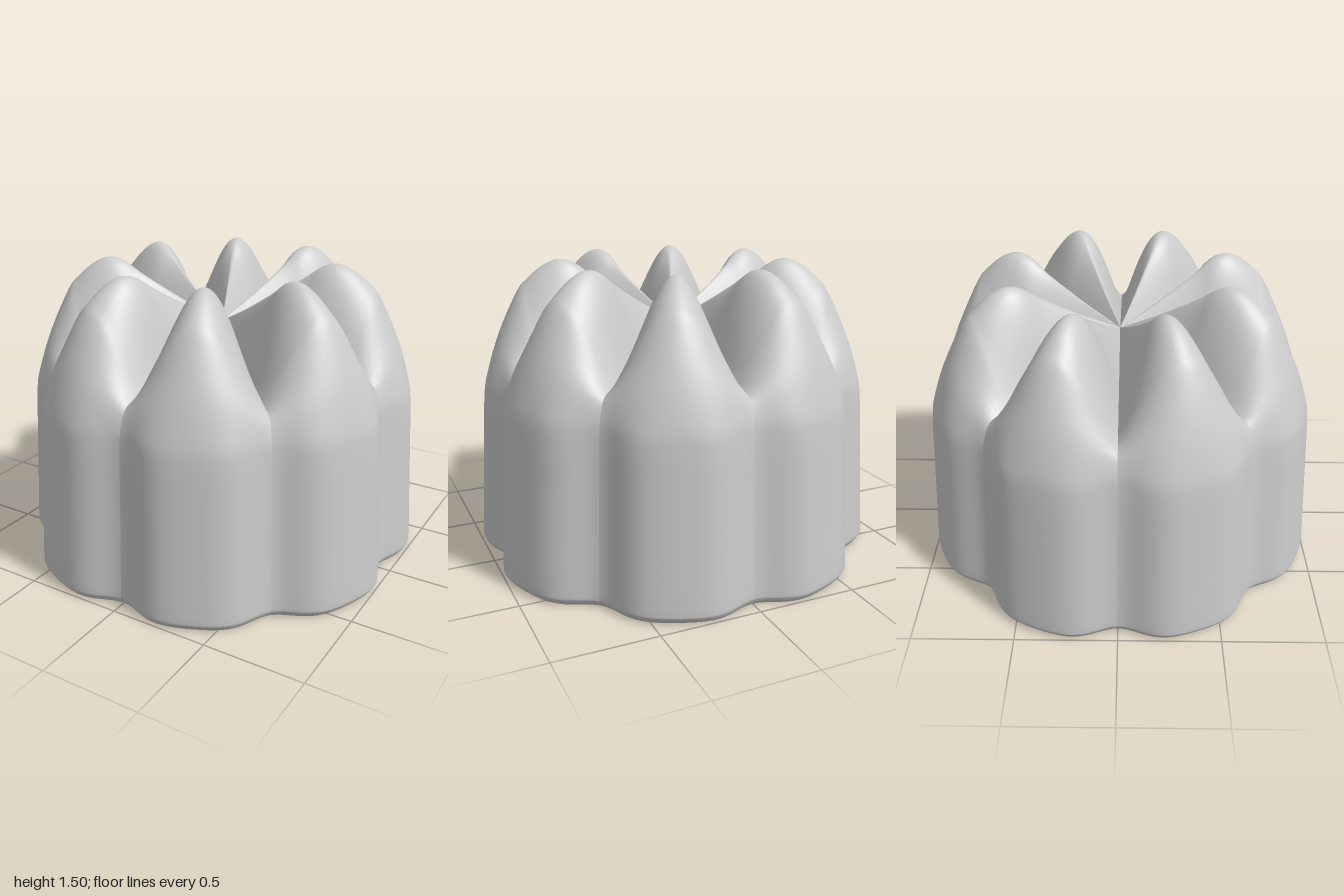
import * as THREE from 'three';

const LOBES = 8;
const SECTOR = (Math.PI * 2) / LOBES;
const COLS = 28; // steps across one lobe
const SUB = 4;   // steps between profile points

// Matching radial profiles [radius, height], from the centre out and down the wall
const RIDGE = [[0, 1.18], [0.2, 1.285], [0.4, 1.405], [0.5, 1.475], [0.58, 1.495], [0.66, 1.465], [0.74, 1.4],
  [0.8, 1.33], [0.9, 1.12], [0.965, 0.92], [0.985, 0.8], [1.0, 0.58], [1.015, 0.34], [1.032, 0.07], [1.028, 0.025], [1.01, 0]];
const VALLEY = [[0, 1.18], [0.19, 1.135], [0.38, 1.09], [0.47, 1.07], [0.55, 1.05], [0.63, 1.035], [0.7, 1.02],
  [0.76, 1.005], [0.845, 0.98], [0.885, 0.9], [0.9, 0.8], [0.912, 0.58], [0.925, 0.34], [0.94, 0.07], [0.936, 0.025], [0.92, 0]];

const spline = (pts) => new THREE.SplineCurve(pts.map(([r, y]) => new THREE.Vector2(r, y)));
const ROWS = (RIDGE.length - 1) * SUB;
const ridge = spline(RIDGE).getPoints(ROWS);
const valley = spline(VALLEY).getPoints(ROWS);

// How far the surface has risen from valley (t = 0) to ridge (t = 1)
function weight(t, row) {
  const k = row / SUB;
  const crest = Math.sin((t * Math.PI) / 2) ** 1.08;
  const flute = 1 - Math.cos((t * Math.PI) / 2) ** 5;
  const top = THREE.MathUtils.lerp(t, crest, THREE.MathUtils.smoothstep(k, 0, 3.5));
  return THREE.MathUtils.lerp(top, flute, THREE.MathUtils.smoothstep(k, 7.5, 10));
}

function surfacePoint(row, col) {
  const t = 1 - Math.abs((2 * col) / COLS - 1);
  const p = valley[row].clone().lerp(ridge[row], weight(t, row));
  const a = (col / COLS) * SECTOR;
  return new THREE.Vector3(p.x * Math.cos(a), p.y, p.x * Math.sin(a));
}

// One lobe from valley to valley; the shared edges stay creased
function lobeGeometry() {
  const positions = [];
  const index = [];
  for (let i = 0; i <= ROWS; i++) {
    for (let j = 0; j <= COLS; j++) {
      positions.push(...surfacePoint(i, j).toArray());
      if (i === ROWS || j === COLS) continue;
      const a = i * (COLS + 1) + j;
      const b = a + COLS + 1;
      if (i > 0) index.push(a, a + 1, b);
      index.push(a + 1, b + 1, b);
    }
  }
  const geo = new THREE.BufferGeometry();
  geo.setAttribute('position', new THREE.Float32BufferAttribute(positions, 3));
  geo.setIndex(index);
  geo.computeVertexNormals();
  return geo;
}

// Flat underside following the scalloped outline
function baseGeometry() {
  const outline = [];
  for (let k = 0; k < LOBES; k++) {
    for (let j = 0; j < COLS; j++) {
      const p = surfacePoint(ROWS, j).applyAxisAngle(new THREE.Vector3(0, 1, 0), -k * SECTOR);
      outline.push(new THREE.Vector2(p.x, p.z));
    }
  }
  return new THREE.ShapeGeometry(new THREE.Shape(outline)).rotateX(Math.PI / 2);
}

export function createModel() {
  const group = new THREE.Group();
  group.name = 'flutedMould';
  const material = new THREE.MeshStandardMaterial({ color: 0xcccccc });

  const lobe = lobeGeometry();
  for (let k = 0; k < LOBES; k++) {
    const mesh = new THREE.Mesh(lobe, material);
    mesh.name = `lobe${k + 1}`;
    mesh.rotation.y = -k * SECTOR;
    group.add(mesh);
  }

  const base = new THREE.Mesh(baseGeometry(), material);
  base.name = 'base';
  group.add(base);
  return group;
}
